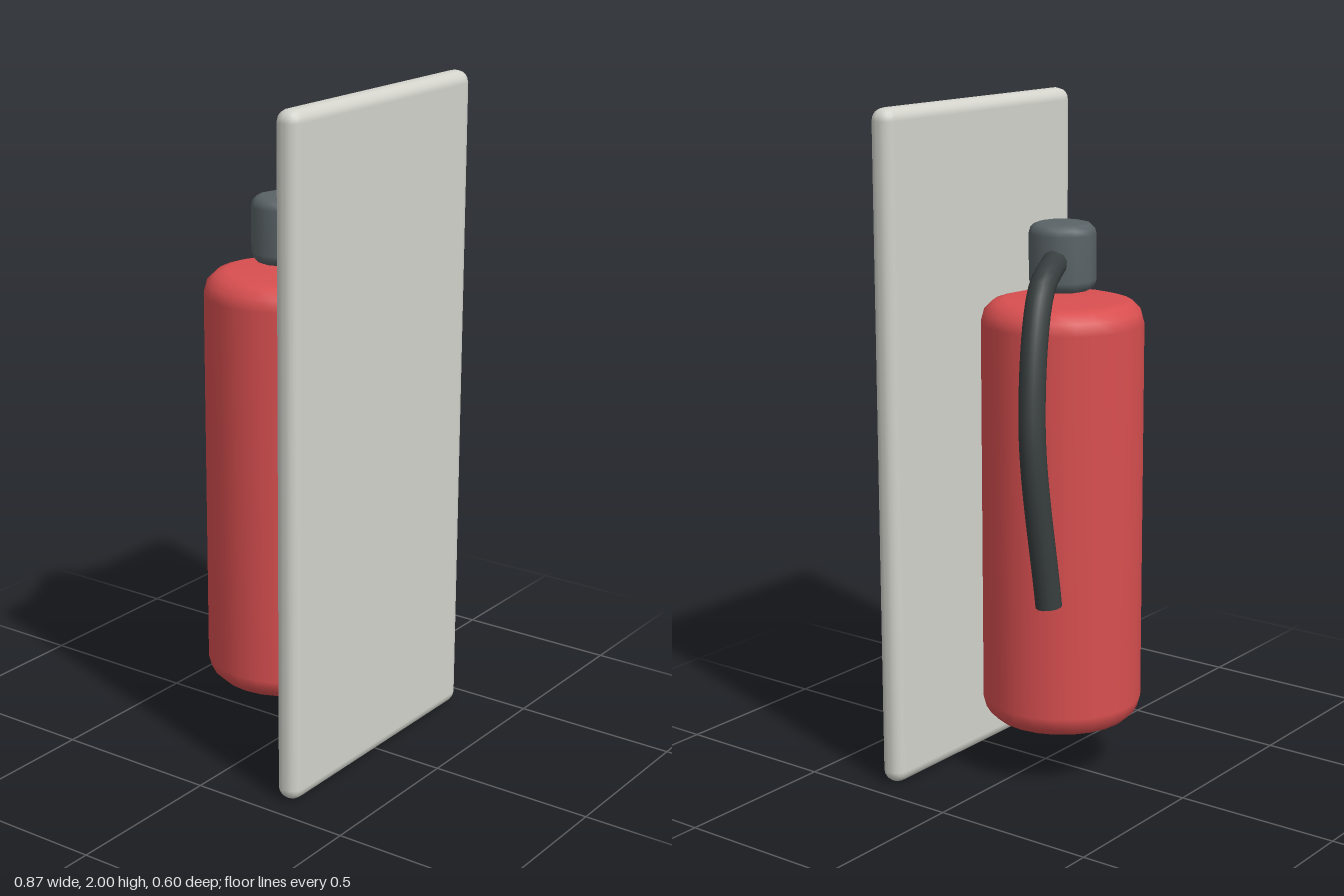
import * as THREE from 'three';
import { RoundedBoxGeometry } from 'three/addons/geometries/RoundedBoxGeometry.js';

const material = (name, color) => {
  const m = new THREE.MeshStandardMaterial({ color });
  m.name = name;
  return m;
};

export function createModel() {
  const group = new THREE.Group();
  const panelGrey = material('panelGrey', 0xd3d3cc);
  const tankRed = material('tankRed', 0xd94f50);
  const valveGrey = material('valveGrey', 0x5a6367);
  const hoseBlack = material('hoseBlack', 0x373d3e);
  const axisZ = -0.06;

  const add = (name, geometry, mat, x = 0, y = 0, z = 0) => {
    const mesh = new THREE.Mesh(geometry, mat);
    mesh.name = name;
    mesh.position.set(x, y, z);
    group.add(mesh);
    return mesh;
  };

  // Closed cylinder with softly bevelled rims
  const bevelledCylinder = (radius, bottom, top, bevel, sides) => {
    const profile = [new THREE.Vector2(0, bottom)];
    const inner = radius - bevel;
    for (const [y, start] of [[bottom + bevel, -Math.PI / 2], [top - bevel, 0]]) {
      for (let i = 0; i <= 3; i++) {
        const a = start + (i / 3) * (Math.PI / 2);
        profile.push(new THREE.Vector2(inner + bevel * Math.cos(a), y + bevel * Math.sin(a)));
      }
    }
    profile.push(new THREE.Vector2(0, top));
    return new THREE.LatheGeometry(profile, sides);
  };

  // Upright panel
  add('panel', new RoundedBoxGeometry(0.87, 2, 0.078, 2, 0.037), panelGrey, 0, 1, 0.258);

  // Tank and valve head
  add('tank', bevelledCylinder(0.238, 0.165, 1.44, 0.068, 24), tankRed, 0, 0, axisZ);
  add('valveHead', bevelledCylinder(0.098, 1.465, 1.662, 0.032, 12), valveGrey, 0, 0, axisZ);

  // Drooping hose with flat ends
  const path = new THREE.CatmullRomCurve3([
    new THREE.Vector3(0.06, 1.565, -0.083),
    new THREE.Vector3(0.2, 1.49, -0.13),
    new THREE.Vector3(0.315, 1.13, -0.186),
    new THREE.Vector3(0.28, 0.61, -0.218),
  ]);
  const hoseRadius = 0.038;
  add('hose', new THREE.TubeGeometry(path, 28, hoseRadius, 12), hoseBlack);
  for (const [t, sign, name] of [[0, -1, 'hoseStart'], [1, 1, 'hoseEnd']]) {
    const p = path.getPoint(t);
    const disc = add(name, new THREE.CircleGeometry(hoseRadius, 12), hoseBlack, p.x, p.y, p.z);
    disc.lookAt(p.clone().addScaledVector(path.getTangent(t), sign));
  }

  return group;
}
